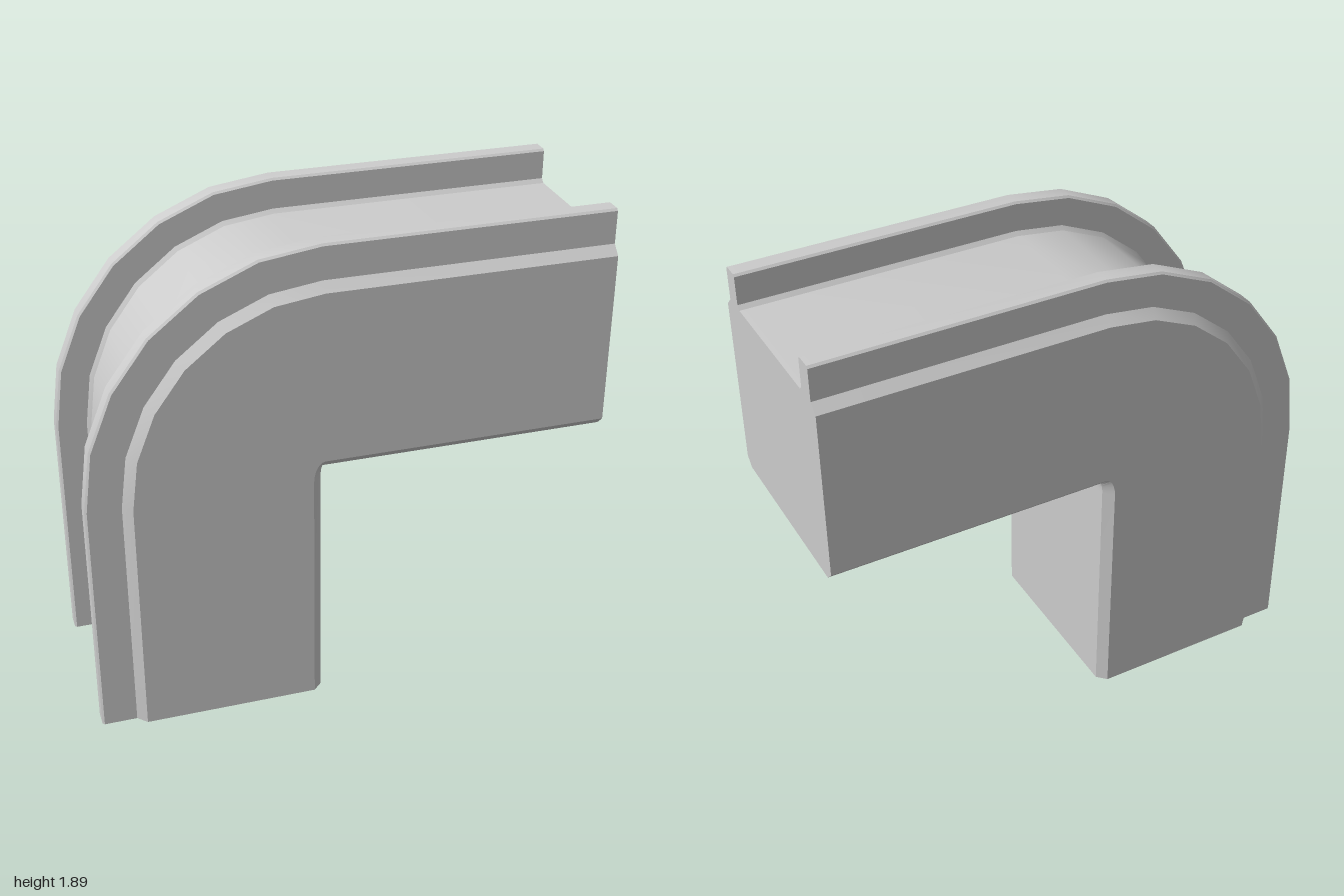
import * as THREE from 'three';
import { toCreasedNormals } from 'three/addons/utils/BufferGeometryUtils.js';

// Half of the cross-section: [z, distance out from the inside of the bend]
const half = [
  [0.365, 0], [0.4, 0.035], [0.4, 0.71], [0.365, 0.745],   // chamfered side
  [0.365, 0.872], [0.357, 0.88], [0.298, 0.88], [0.29, 0.872], // rail
  [0.29, 0.76], [0.275, 0.745],                            // fillet to channel floor
];
const section = [...half, ...half.map(([z, u]) => [-z, u]).reverse()];

const INNER_X = -0.12, INNER_Y = 1.015; // inside corner of the elbow
const CX = -0.11, CY = 0.965;           // centre of the bend
const STEPS = 6;

// One ring of the sweep for each station: foot, bend, far end
function ringPoint(station, z, u) {
  if (station === 0) return [INNER_X - u, 0, z];
  if (station === STEPS + 2) return [1, INNER_Y + u, z];
  const a = ((station - 1) / STEPS) * Math.PI / 2;
  const rx = CX - INNER_X + u, ry = INNER_Y - CY + u;
  return [CX - rx * Math.cos(a), CY + ry * Math.sin(a), z];
}

function sweepElbow() {
  const n = section.length, last = STEPS + 2;
  const positions = [], index = [];
  for (let k = 0; k <= last; k++) {
    for (const [z, u] of section) positions.push(...ringPoint(k, z, u));
  }
  for (let k = 0; k < last; k++) {
    for (let i = 0; i < n; i++) {
      const j = (i + 1) % n;
      const a = k * n + i, b = a + n, c = k * n + j, d = c + n;
      index.push(a, b, c, c, b, d);
    }
  }
  // End caps
  const contour = section.map(([z, u]) => new THREE.Vector2(z, u));
  for (const [a, b, c] of THREE.ShapeUtils.triangulateShape(contour, [])) {
    const o = last * n;
    index.push(a, b, c, o + a, o + c, o + b);
  }
  const geometry = new THREE.BufferGeometry();
  geometry.setAttribute('position', new THREE.Float32BufferAttribute(positions, 3));
  geometry.setIndex(index);
  return toCreasedNormals(geometry, THREE.MathUtils.degToRad(25));
}

export function createModel() {
  const group = new THREE.Group();
  group.name = 'elbowChannel';
  const elbow = new THREE.Mesh(sweepElbow(), new THREE.MeshStandardMaterial({ color: 0xcccccc }));
  elbow.name = 'railedElbow';
  group.add(elbow);
  return group;
}
